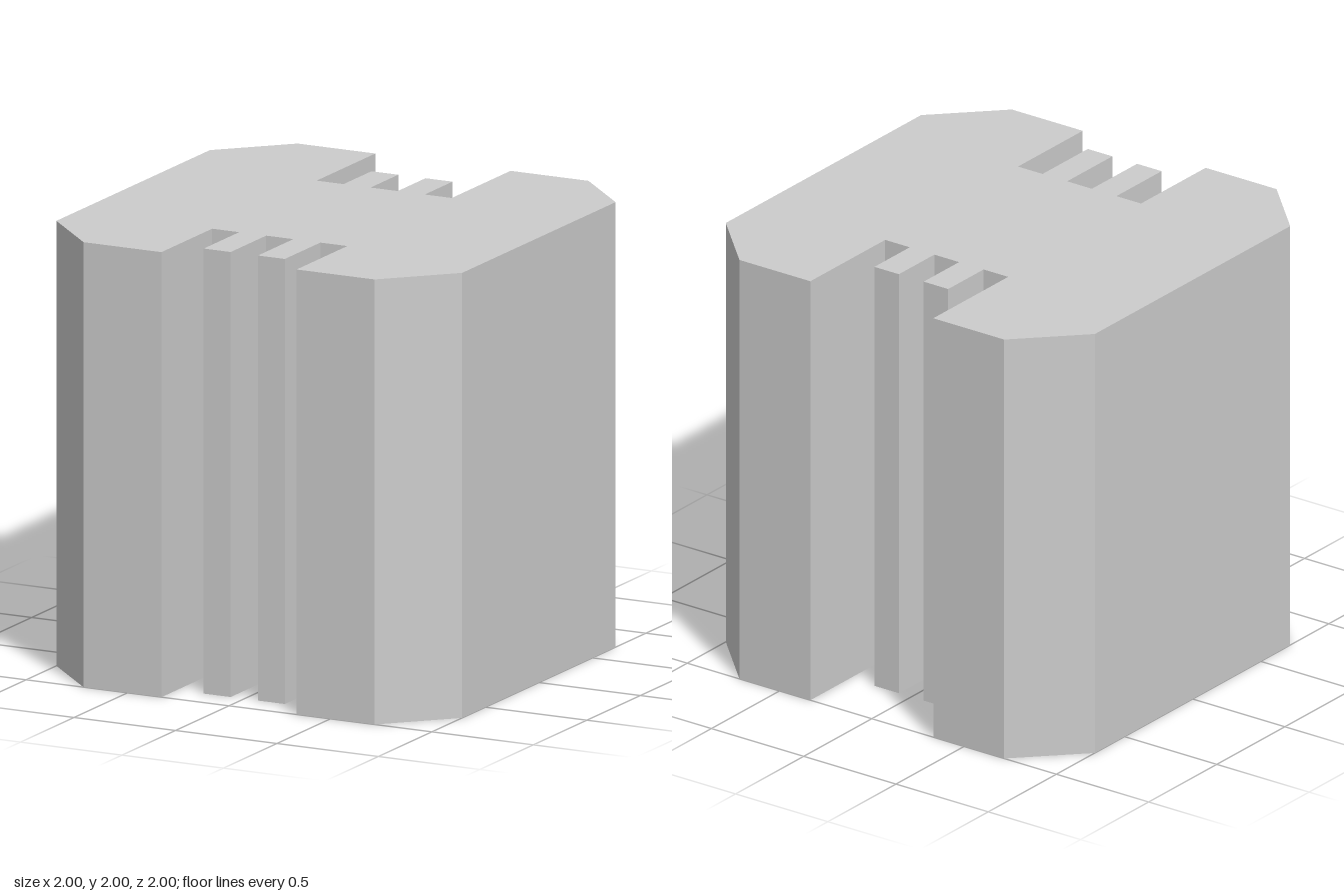
import * as THREE from 'three';

const HALF = 1, CHAMFER = 0.717, HEIGHT = 2;
const SLOT_EDGES = [0.333, 0.2, 0.067]; // slot wall, outer and inner rib faces

// One end of the outline, running from -x to +x: chamfers and a slot with two ribs.
function endOutline(floor, ribTip) {
  const [wall, outer, inner] = SLOT_EDGES;
  const half = [
    [HALF, CHAMFER], [CHAMFER, HALF], [wall, HALF], [wall, floor],
    [outer, floor], [outer, ribTip], [inner, ribTip], [inner, floor],
  ];
  const left = half.map(([x, d]) => [-x, d]);
  return [...left, ...half.reverse()];
}

export function createModel() {
  const group = new THREE.Group();
  group.name = 'slottedBlock';

  // Plan outline: the front end lies at -y and becomes +z once stood upright.
  const front = endOutline(0.525, 0.857).map(([x, d]) => new THREE.Vector2(x, -d));
  const back = endOutline(0.45, 0.71).map(([x, d]) => new THREE.Vector2(-x, d));
  const outline = new THREE.Shape([...front, ...back]);

  const geometry = new THREE.ExtrudeGeometry(outline, { depth: HEIGHT, bevelEnabled: false });
  geometry.rotateX(-Math.PI / 2);

  const body = new THREE.Mesh(
    geometry,
    new THREE.MeshStandardMaterial({ color: 0xcccccc, flatShading: true })
  );
  body.name = 'body';
  group.add(body);
  return group;
}
